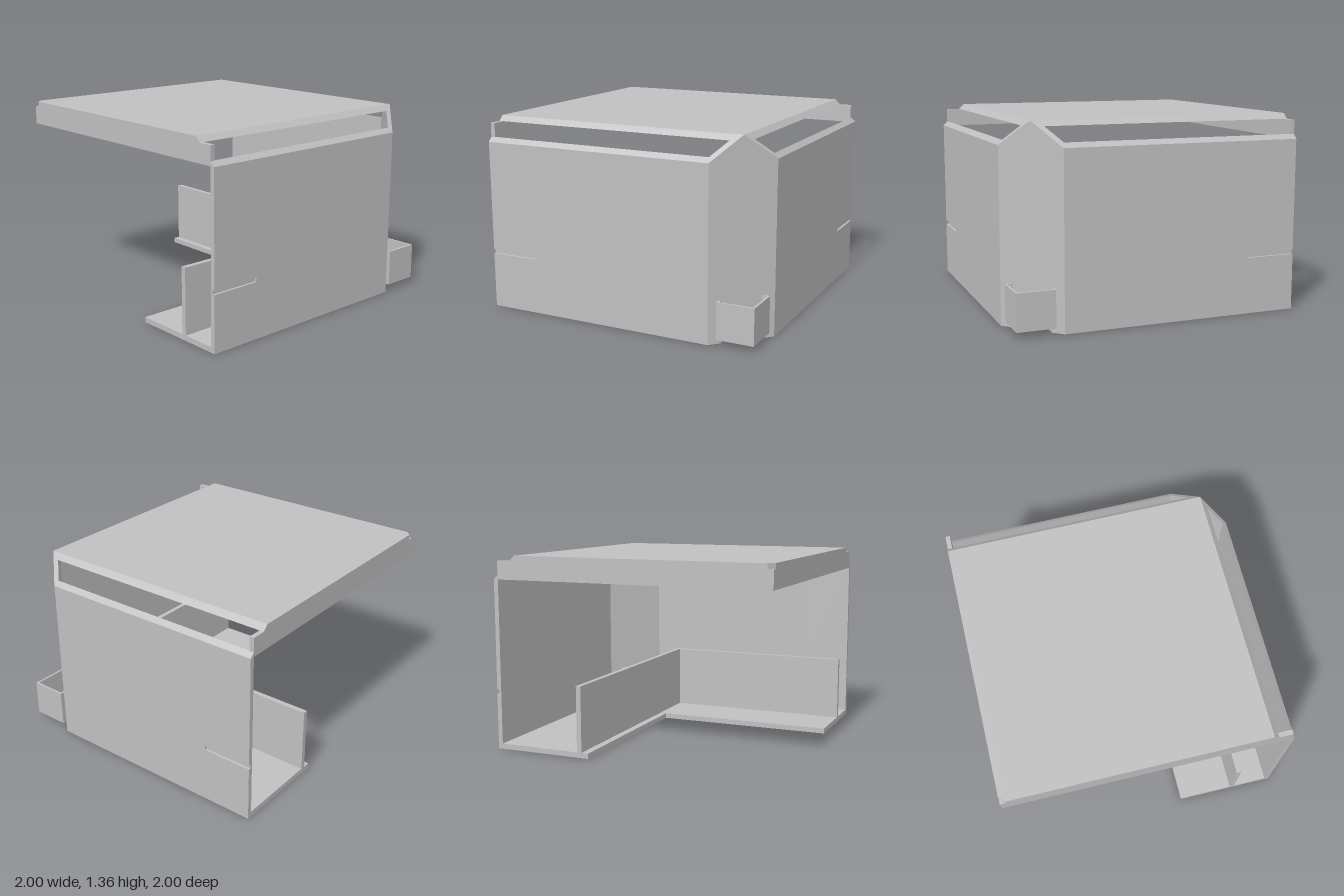
import * as THREE from 'three';
import { ConvexGeometry } from 'three/addons/geometries/ConvexGeometry.js';

const FLOOR = 0.037;   // floor thickness
const ROOF_LOW = 1.318, ROOF_TOP = 1.355;
const BEVEL = 2.19;    // sloped edge plane: y + z = BEVEL
const IN = 0.968;      // inner face of the outer walls
const CUT = 1.67;      // chamfered corner plane: x + z = CUT
const CUT_IN = 1.625;  // inner face of the chamfered corner

export function createModel() {
  const group = new THREE.Group();
  const grey = new THREE.MeshStandardMaterial({ color: 0xc0c0c0 });
  grey.name = 'plain grey';

  const add = (name, geometry) => {
    const mesh = new THREE.Mesh(geometry, grey);
    mesh.name = name;
    group.add(mesh);
  };
  // Convex solid from corner points; swap mirrors it across the diagonal
  const solid = (name, pts, swap = false) => add(name, new ConvexGeometry(
    pts.map(([x, y, z]) => (swap ? new THREE.Vector3(z, y, x) : new THREE.Vector3(x, y, z)))));
  const block = (name, x0, x1, y0, y1, z0, z1) => {
    const g = new THREE.BoxGeometry(x1 - x0, y1 - y0, z1 - z0);
    g.translate((x0 + x1) / 2, (y0 + y1) / 2, (z0 + z1) / 2);
    add(name, g);
  };
  // Plan outline in (x, z) raised from y0 to y1
  const slab = (name, outline, y0, y1, hole) => {
    const toPts = (o) => o.map(([x, z]) => new THREE.Vector2(x, z));
    const shape = new THREE.Shape(toPts(outline));
    if (hole) shape.holes.push(new THREE.Path(toPts(hole)));
    const g = new THREE.ExtrudeGeometry(shape, { depth: y1 - y0, bevelEnabled: false });
    g.rotateX(Math.PI / 2);
    g.translate(0, y1, 0);
    add(name, g);
  };
  const square = (a, b) => [[a, a], [b, a], [b, b], [a, b]];

  // L-shaped floor with chamfered corner and a notch under the socket
  slab('floor', [[-1, 0.29], [0.29, 0.29], [0.29, -1], [1, -1], [1, 0.67],
    [0.935, 0.735], [0.735, 0.735], [0.735, 0.935], [0.67, 1], [-1, 1]], 0, FLOOR);

  // Two outer walls, each with a shallow groove at the open end
  const GROOVE_END = -0.645, g0 = 0.39, g1 = 0.42, gz = 0.984;
  for (const swap of [false, true]) {
    const side = swap ? 'side' : 'front';
    const run = (name, section, x0, endX) => solid(name,
      section.flatMap(([z, y]) => [[x0, y, z], [endX(z), y, z]]), swap);
    const grooveEnd = () => GROOVE_END;
    const mitre = (z) => (z === 1 ? CUT - 1 : CUT_IN - IN);
    const top = [[IN, BEVEL - IN], [1, BEVEL - 1]];
    run(side + 'Wall', [[IN, FLOOR], [1, FLOOR], ...top], GROOVE_END, mitre);
    run(side + 'WallEndLower', [[IN, FLOOR], [1, FLOOR], [IN, g0], [1, g0]], -1, grooveEnd);
    run(side + 'WallGroove', [[IN, g0], [gz, g0], [IN, g1], [gz, g1]], -1, grooveEnd);
    run(side + 'WallEndUpper', [[IN, g1], [1, g1], ...top], -1, grooveEnd);
  }

  // Chamfered corner wall with a peaked top under the roof corner
  const corner = [];
  for (const c of [CUT, CUT_IN]) {
    const e = c === CUT ? 1 : IN;
    for (const z of [e, c - e]) {
      corner.push([c - z, FLOOR, z], [c - z, BEVEL - e, z]);
    }
    corner.push([c / 2, ROOF_TOP, c / 2]);
    if (c === CUT_IN) corner.push([c - 0.835, ROOF_TOP, 0.835], [0.835, ROOF_TOP, c - 0.835]);
  }
  solid('cornerWall', corner);

  // Roof with sloped outer edges and a small cut at the back corner
  const t = BEVEL - ROOF_TOP, b = BEVEL - ROOF_LOW, nick = 0.04;
  solid('roof', [
    ...[ROOF_LOW, ROOF_TOP].flatMap((y) => [[-1 + nick, y, -1], [-1, y, -1 + nick]]),
    [-1, ROOF_TOP, t], [t, ROOF_TOP, t], [t, ROOF_TOP, -1],
    [-1, ROOF_LOW, b], [CUT - b, ROOF_LOW, b], [b, ROOF_LOW, CUT - b], [b, ROOF_LOW, -1],
  ]);

  // Ribs under the open roof edges
  block('backRib', -1, 0.97, BEVEL - 1, ROOF_LOW, -1, -0.968);
  block('sideRib', -1, -0.968, BEVEL - 1, ROOF_LOW, -1, 0.97);

  // Low inner walls standing on the floor
  block('innerSideWall', 0.34, 0.375, FLOOR, 0.495, -1, 0.72);
  block('innerFrontWall', -1, 0.34, FLOOR, 0.495, 0.685, 0.72);

  // Open square socket at the chamfered corner
  slab('cornerSocket', square(0.722, 0.985), 0.04, 0.294, square(0.737, 0.97));

  return group;
}
